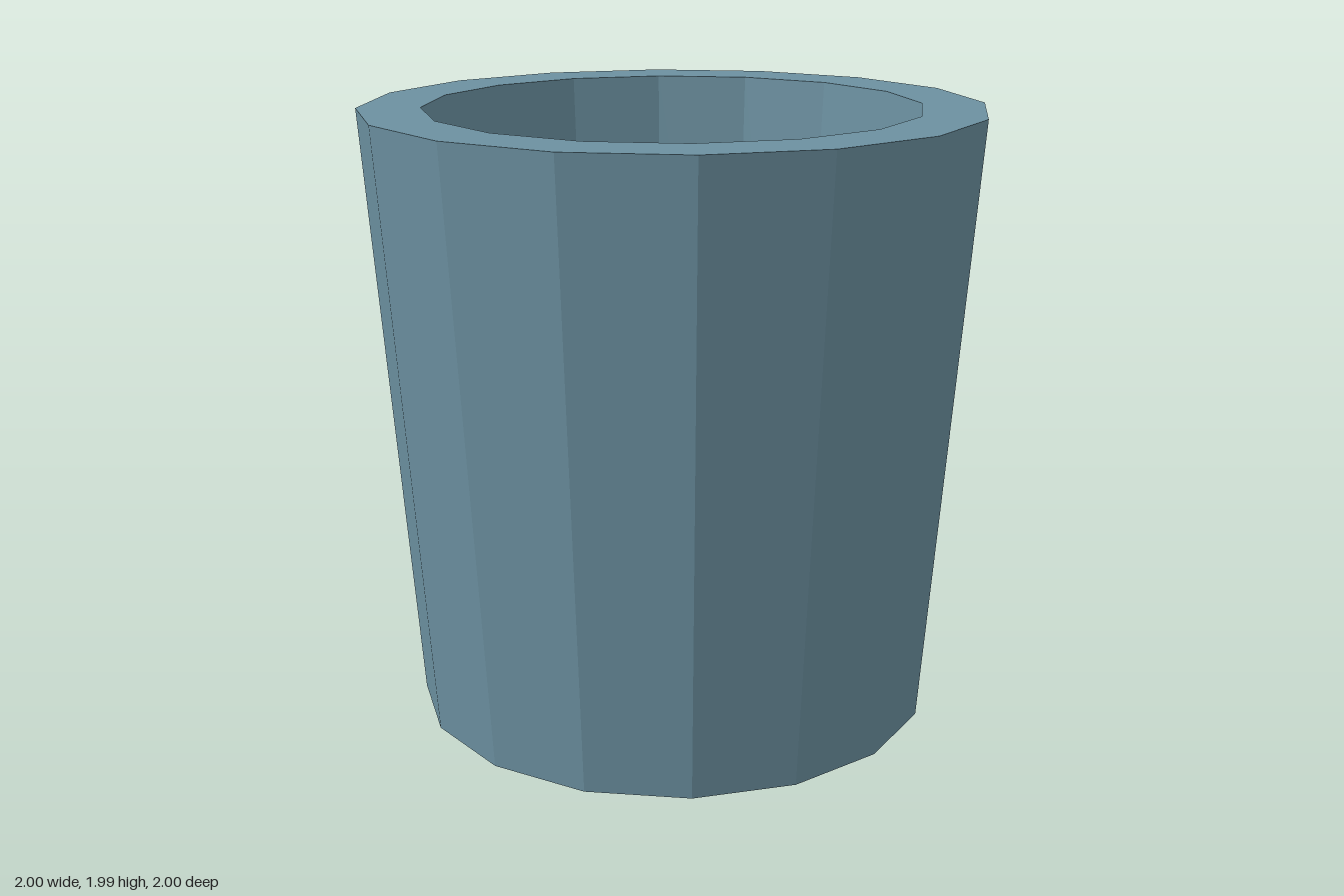
import * as THREE from 'three';

const SIDES = 16;
const HEIGHT = 1.985;
const FLOOR = 0.2;

export function createModel() {
  const group = new THREE.Group();
  group.name = 'cup';

  // Closed profile: underside, tapered outer wall, flat rim, inner wall, floor
  const profile = [
    [0, 0],
    [0.852, 0],
    [1, HEIGHT],
    [0.797, HEIGHT],
    [0.679, FLOOR],
    [0, FLOOR],
  ].map(([r, y]) => new THREE.Vector2(r, y));

  const material = new THREE.MeshStandardMaterial({ color: 0x6c91a1, flatShading: true });
  const body = new THREE.Mesh(new THREE.LatheGeometry(profile, SIDES), material);
  body.name = 'cupBody';
  group.add(body);

  return group;
}
